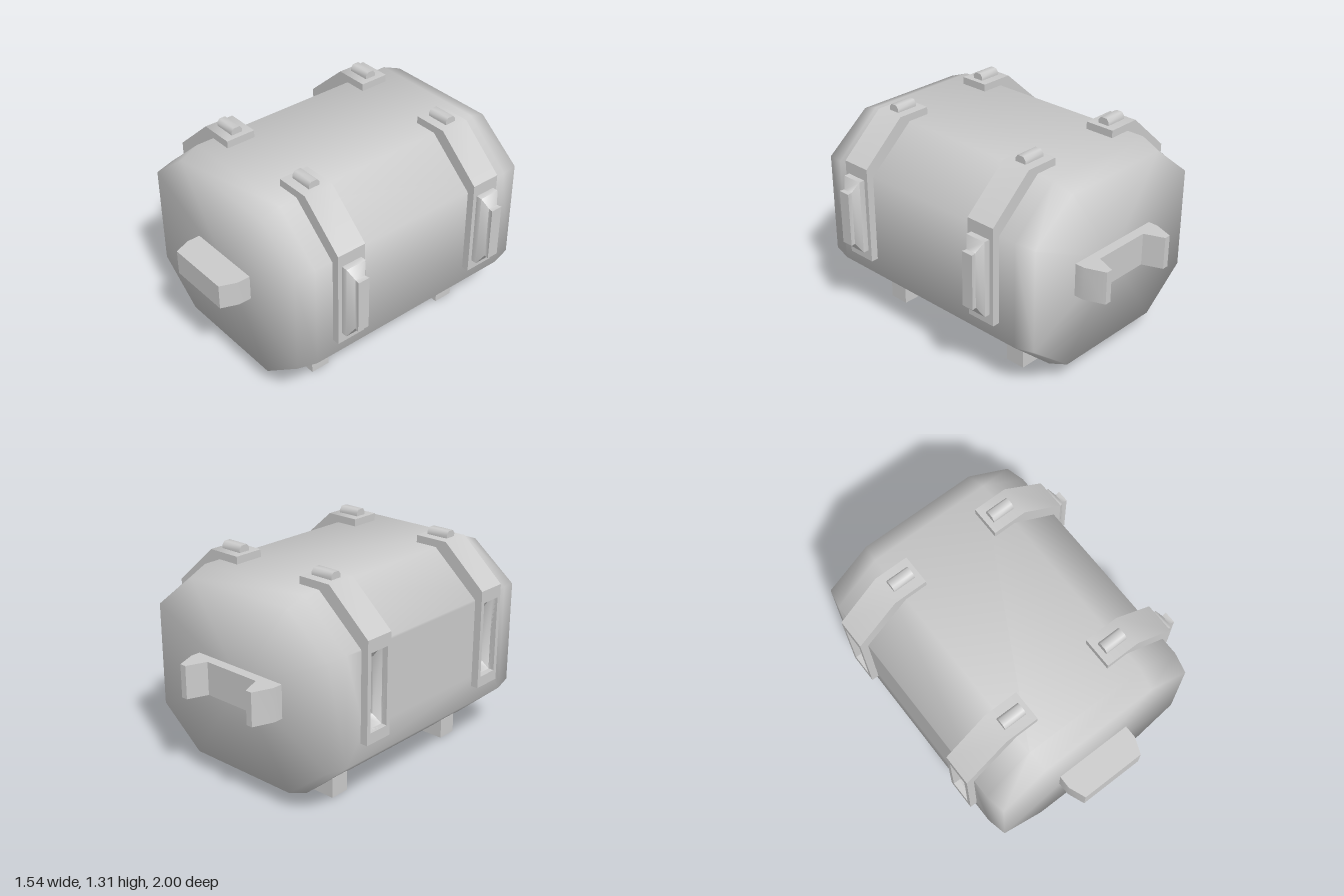
import * as THREE from 'three';
import { mergeGeometries, toCreasedNormals } from 'three/addons/utils/BufferGeometryUtils.js';

const CX = -0.05;                       // middle of the body in x
const flipX = x => 2 * CX - x;
const STATIONS = [0.497, -0.497];       // z of the two strap pairs

// Rectangle ring across an axis, counter-clockwise about that axis
function rect(axis, t, a0, a1, b0, b1) {
  return [[a0, b0], [a1, b0], [a1, b1], [a0, b1]].map(([a, b]) =>
    axis === 'x' ? [t, a, b] : axis === 'y' ? [b, t, a] : [a, b, t]);
}

// Skin a stack of rings; inward turns it into a socket without its opening
function loft(rings, { inward = false, skip = () => false } = {}) {
  const pos = [];
  const tri = (a, b, c) => pos.push(...a, ...(inward ? c : b), ...(inward ? b : c));
  const n = rings[0].length;
  const mid = r => [0, 1, 2].map(k => r.reduce((s, p) => s + p[k], 0) / n);
  const first = rings[0], last = rings[rings.length - 1];
  for (let j = 0; j < n; j++) {
    const k = (j + 1) % n;
    for (let i = 0; i < rings.length - 1; i++) {
      if (skip(i, j)) continue;
      tri(rings[i][j], rings[i][k], rings[i + 1][k]);
      tri(rings[i][j], rings[i + 1][k], rings[i + 1][j]);
    }
    if (!inward) tri(mid(first), first[k], first[j]);
    tri(mid(last), last[j], last[k]);
  }
  const g = new THREE.BufferGeometry();
  g.setAttribute('position', new THREE.Float32BufferAttribute(pos, 3));
  return g;
}

const poly = pts => new THREE.Shape(pts.map(p => new THREE.Vector2(...p)));
const box2 = (x0, x1, y0, y1) => [[x0, y0], [x1, y0], [x1, y1], [x0, y1]];
function holed(outer, holes) {
  const s = poly(outer);
  holes.forEach(h => s.holes.push(new THREE.Path(h.map(p => new THREE.Vector2(...p)))));
  return s;
}
const extrude = (shape, depth) => new THREE.ExtrudeGeometry(shape, { depth, bevelEnabled: false });

// Stud rings standing on height y
const studRings = (y, x, z) => [[0, 0.036], [0.02, 0.036], [0.04, 0.02]].map(([h, w]) =>
  rect('y', y + h, z - w, z + w, x - 0.07, x + 0.07));

// Side plug rings growing along +x from x
const plugRings = (x, z) => [
  [0, 0.495, 0.955, 0.066], [0.036, 0.495, 0.955, 0.066],
  [0.07, 0.555, 0.89, 0.032], [0.1, 0.555, 0.89, 0.037],
].map(([d, y0, y1, w]) => rect('x', x + d, y0, y1, z - w, z + w));

const slot = z => box2(z - 0.066, z + 0.066, 0.495, 0.955);

export function createModel() {
  const model = new THREE.Group();
  const material = new THREE.MeshStandardMaterial({ color: 0xcccccc });
  const add = (name, geometry, crease = 0.9) => {
    const mesh = new THREE.Mesh(toCreasedNormals(geometry, crease), material);
    mesh.name = name;
    model.add(mesh);
  };

  // Octagonal body with tapered ends; the -x side is opened for the sockets
  const octagon = (z, dx, dy) => {
    const w = 0.6725 - dx, h = 0.58 - dy, w2 = 0.38 - dx * 0.6, h2 = 0.325 - dy * 0.3;
    return [[w, -h2], [w, h2], [w2, h], [-w2, h], [-w, h2], [-w, -h2], [-w2, -h], [w2, -h]]
      .map(([x, y]) => [x + CX, y + 0.645, z]);
  };
  const shell = loft([
    octagon(-0.82, 0.025, 0.045), octagon(-0.7, 0, 0),
    octagon(0.7, 0, 0), octagon(0.82, 0.025, 0.045),
  ], { skip: (i, j) => i === 1 && j === 4 });
  const side = new THREE.ShapeGeometry(holed(box2(-0.7, 0.7, 0.32, 0.97), STATIONS.map(slot)))
    .rotateY(-Math.PI / 2).translate(CX - 0.6725, 0, 0).toNonIndexed();
  side.deleteAttribute('normal');
  side.deleteAttribute('uv');
  add('body', mergeGeometries([shell, side]), 1.4);

  for (const z of STATIONS) {
    for (const right of [false, true]) {
      const label = (right ? 'left' : 'right') + (z > 0 ? 'Front' : 'Back');
      const mx = x => (right ? flipX(x) : x);

      // Strap: bent upper part and upright plate
      const bend = [[-0.29, 1.27], [-0.5, 1.27], [-0.77, 1.03], [-0.725, 1.03],
        [-0.725, 0.965], [-0.64, 1.03], [-0.43, 1.2], [-0.29, 1.2]];
      add(label + 'StrapBend',
        extrude(poly(bend.map(([x, y]) => [mx(x), y])), 0.185).translate(0, 0, z - 0.0925));
      const plate = holed(box2(z - 0.0925, z + 0.0925, 0.43, 1.03), right ? [] : [slot(z)]);
      add(label + 'StrapPlate',
        extrude(plate, 0.045).rotateY(-Math.PI / 2).translate(right ? 0.67 : -0.725, 0, 0));

      // Plug on one side, matching socket on the other
      if (right) add(label + 'Plug', loft(plugRings(0.67, z)), 1.2);
      else add(label + 'Socket', loft(plugRings(-0.77, z), { inward: true }), 1.2);

      // Stud on top, hollow foot below
      const sx = mx(-0.395);
      add(label + 'Stud', loft(studRings(1.27, sx, z)));
      const fx = mx(-0.3925);
      const foot = holed(box2(fx - 0.1025, fx + 0.1025, -z - 0.062, -z + 0.062),
        [box2(sx - 0.07, sx + 0.07, -z - 0.036, -z + 0.036)]);
      add(label + 'Foot', extrude(foot, 0.12).rotateX(-Math.PI / 2));
      add(label + 'FootSocket', loft(studRings(0, sx, z), { inward: true }));
    }
  }

  // Solid front coupling
  add('frontCoupling', loft([[0.8, 0], [0.9, 0], [1, 0.04]].map(([z, d]) =>
    rect('z', z, -0.295 + d, 0.19 - d, 0.57, 0.725))), 0.6);

  // Two-pronged back coupling
  const half = [[0.3225, 0.8], [0.3225, 0.88], [0.277, 1], [0.237, 1], [0.19, 0.88]];
  const prongs = [...half, ...half.slice().reverse().map(([x, z]) => [-x, z])]
    .map(([x, z]) => [x + CX, z]);
  add('backCoupling', extrude(poly(prongs), 0.2).rotateX(-Math.PI / 2).translate(0, 0.545, 0), 0.6);

  // Long six-sided plate under the body
  const keel = [[-0.045, -0.305], [0.045, -0.305], [0.0925, -0.17], [0.0925, 0.17],
    [0.045, 0.315], [-0.045, 0.315], [-0.0925, 0.17], [-0.0925, -0.17]];
  add('bottomPlate', extrude(poly(keel.map(([x, z]) => [x + CX, z])), 0.05)
    .rotateX(-Math.PI / 2).translate(0, 0.035, 0));

  return model;
}
